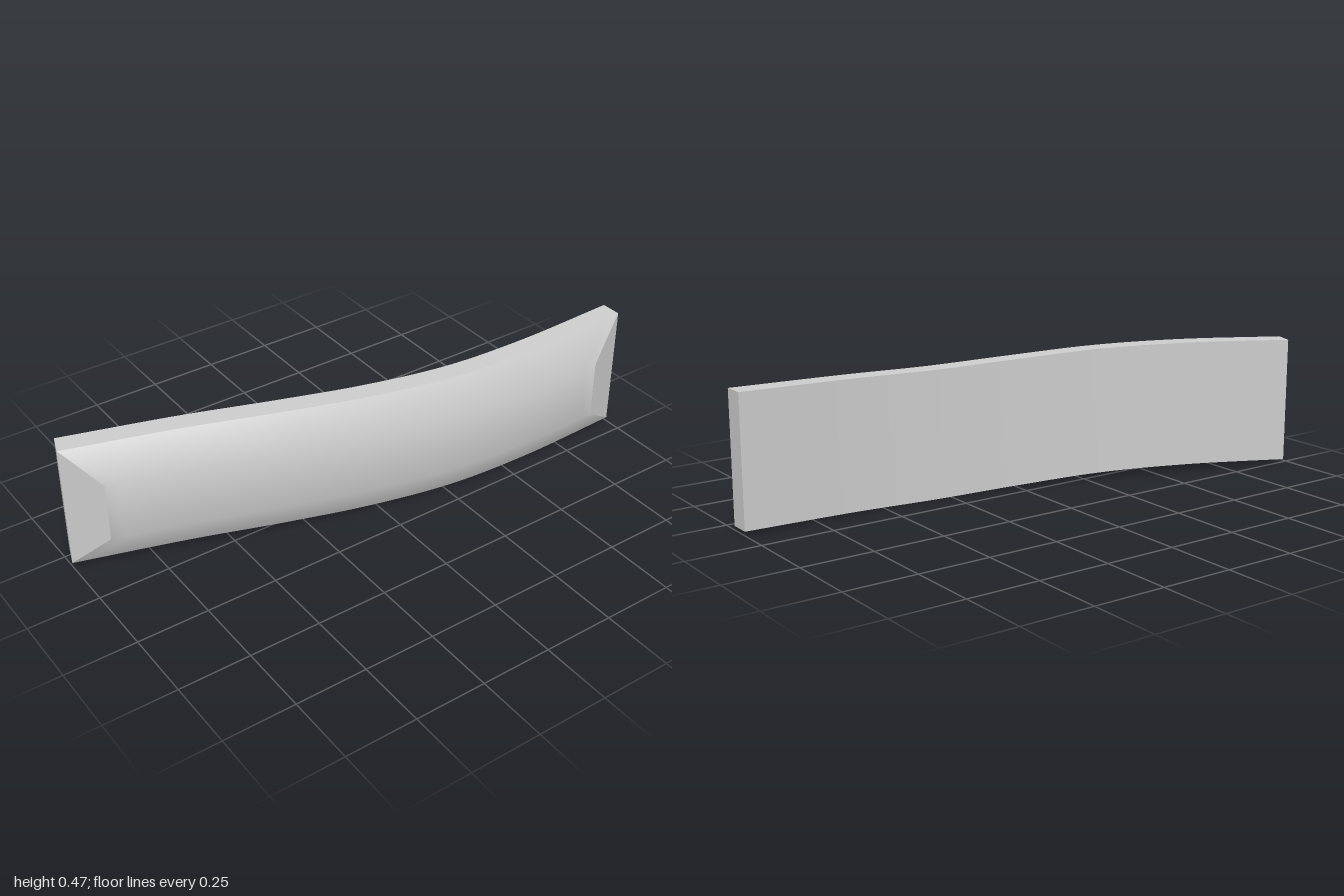
import * as THREE from 'three';

const STEPS = 40;
const MID = 0.2375; // mid height of the panel

// Back rail, from rear to front; y holds the gentle rise and fall
const rail = new THREE.CatmullRomCurve3([
  [0.115, 0, -1], [0.117, -0.009, -0.6], [0.095, -0.0135, -0.3], [0.045, -0.004, 0],
  [-0.03, 0.009, 0.3], [-0.13, 0.0115, 0.6], [-0.26, 0, 0.976],
].map((p) => new THREE.Vector3(...p)));

// Edge line parallel to the back rail, pushed outward and up or down
function edge(outward, height, t0 = 0, t1 = 1) {
  return Array.from({ length: STEPS + 1 }, (_, i) => {
    const t = t0 + (t1 - t0) * (i / STEPS);
    const p = rail.getPointAt(t), d = rail.getTangentAt(t);
    const n = new THREE.Vector3(d.z, 0, -d.x).normalize();
    return p.addScaledVector(n, outward).setY(p.y + MID + height);
  });
}

// Smooth surface lofted across a list of edge lines
function loft(edges) {
  const n = edges[0].length;
  const index = [];
  for (let j = 0; j < edges.length - 1; j++) {
    for (let i = 0; i < n - 1; i++) {
      const a = j * n + i, b = a + 1, c = b + n, d = a + n;
      index.push(a, d, c, a, c, b);
    }
  }
  const geometry = new THREE.BufferGeometry().setFromPoints(edges.flat());
  geometry.setIndex(index);
  geometry.computeVertexNormals();
  return geometry;
}

// Flat four-cornered face
function quad(corners) {
  const geometry = new THREE.BufferGeometry().setFromPoints(corners);
  geometry.setIndex([0, 1, 2, 0, 2, 3]);
  geometry.computeVertexNormals();
  return geometry;
}

export function createModel() {
  const group = new THREE.Group();
  group.name = 'curvedPanel';
  const grey = new THREE.MeshStandardMaterial({ color: 0xcccccc });
  grey.name = 'light grey';
  const add = (name, geometry) => {
    const mesh = new THREE.Mesh(geometry, grey);
    mesh.name = name;
    group.add(mesh);
  };

  const H = 0.2225;
  const backB = edge(0, -H), backT = edge(0, H);
  const baseB = edge(0.073, -H), baseT = edge(0.073, H);
  const crownB = edge(0.14, -0.105, 0.079, 0.937);
  const crownT = edge(0.14, 0.105, 0.079, 0.937);

  // Long faces
  add('raisedFace', loft([baseB, crownB, crownT, baseT]));
  add('topSide', loft([baseT, backT]));
  add('backFace', loft([backT, backB]));
  add('bottomSide', loft([backB, baseB]));

  // End caps and sloped end facets
  for (const [name, i] of [['rear', 0], ['front', STEPS]]) {
    const cap = [backB, baseB, baseT, backT].map((e) => e[i]);
    const slope = [baseB, crownB, crownT, baseT].map((e) => e[i]);
    if (i === 0) { cap.reverse(); slope.reverse(); }
    add(name + 'Cap', quad(cap));
    add(name + 'Slope', quad(slope));
  }
  return group;
}
